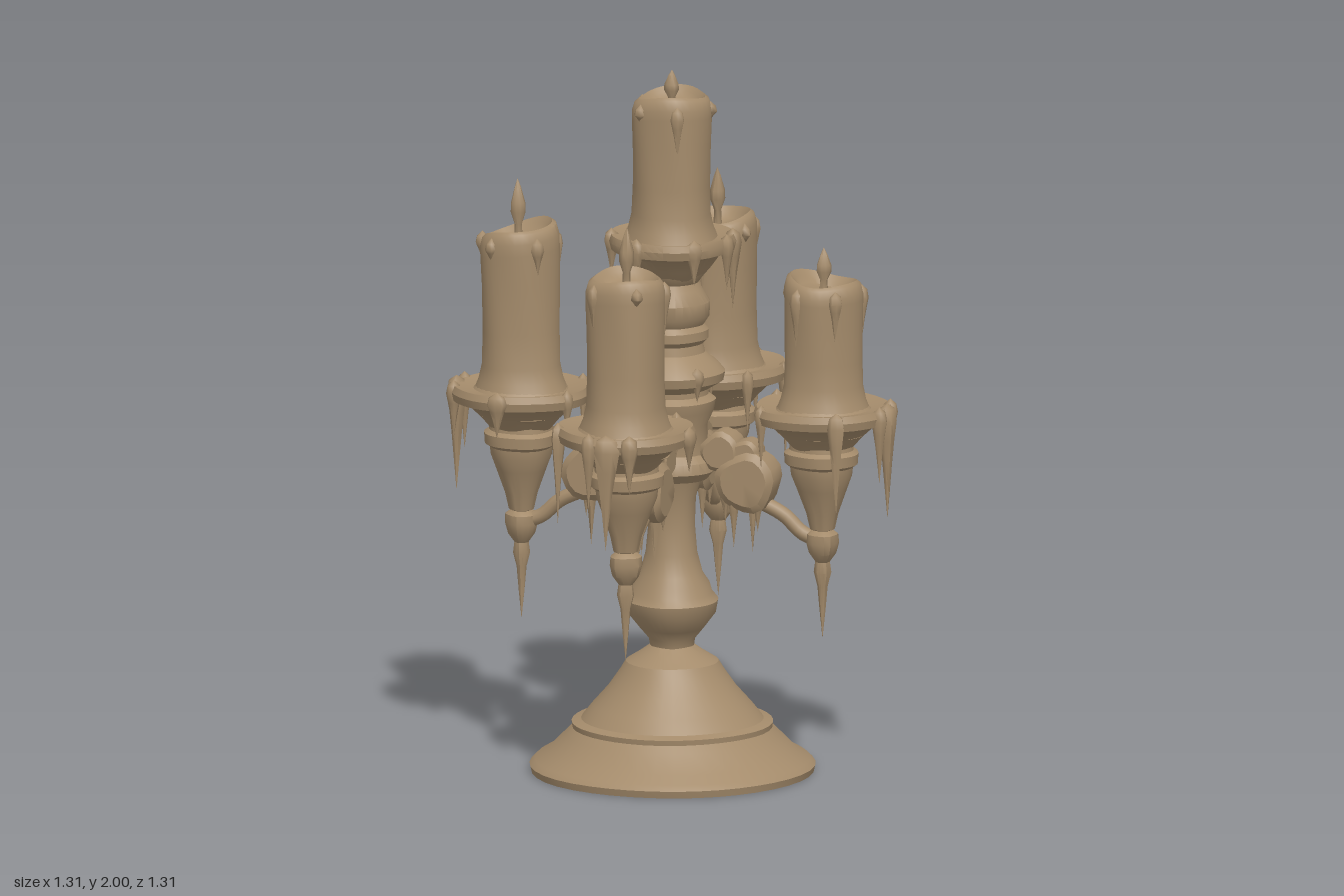
import * as THREE from 'three';
import { mergeVertices, toCreasedNormals } from 'three/addons/utils/BufferGeometryUtils.js';

const wax = new THREE.MeshStandardMaterial({ color: 0xa48b6b });
wax.name = 'old wax tan';

function add(parent, name, geometry) {
  const mesh = new THREE.Mesh(geometry, wax);
  mesh.name = name;
  parent.add(mesh);
  return mesh;
}

// Turned form with an uneven, hand-melted surface; wobble is relative to the radius.
function turned(profile, wobble = 0.02, seed = 0, sides = 32, crease = 0.6) {
  let g = new THREE.LatheGeometry(profile.map(([r, y]) => new THREE.Vector2(r, y)), sides);
  g.deleteAttribute('uv');
  g.deleteAttribute('normal');
  const p = g.attributes.position;
  for (let i = 0; i < p.count; i++) {
    const x = p.getX(i), y = p.getY(i), z = p.getZ(i);
    const r = Math.hypot(x, z);
    if (r < 1e-4) { p.setXYZ(i, 0, y, 0); continue; }
    const a = Math.atan2(z / r, x / r);
    const k = 1 + wobble * (Math.sin(Math.round(3) * a + seed + y * 5) + 0.6 * Math.sin(5 * a + seed * 2.3 - y * 9));
    p.setXYZ(i, x * k, y, z * k);
  }
  g = mergeVertices(g, 1e-4);
  return toCreasedNormals(g, crease);
}

// Hanging drip: wide at the rim, tapering to a point
function drip(parent, x, y, z, length, r, wide = 1) {
  const g = turned([[0, -length], [r * 0.22, -length * 0.75], [r * 0.5, -length * 0.45], [r * 0.75, -length * 0.25],
    [r, -length * 0.06], [r * 0.8, 0.015], [0, 0.03]], 0.08, length * 40, 8, 1.2);
  const mesh = add(parent, 'waxDrip', g);
  mesh.position.set(x, y, z);
  mesh.scale.z = wide;
  mesh.rotation.y = -Math.atan2(z, x);
}

// Drips spaced round a rim: [angle, length, radius, width]
function rimDrips(parent, radius, y, list) {
  const rim = new THREE.Group();
  rim.name = 'rimDrips';
  for (const [a, l, r, w] of list) drip(rim, radius * Math.cos(a), y, radius * Math.sin(a), l, r, w);
  parent.add(rim);
  return rim;
}

// Candle with a hollow melted top, runs of wax and a flame
function candle(parent, y0, y1, tip, r, seed, slant) {
  const c = new THREE.Group();
  c.name = 'candle';
  const h = y1 - y0;
  const g = turned([[r * 1.25, -0.02], [r * 1.1, 0.02], [r * 1.02, 0.06], [r, h * 0.35], [r * 1.01, h * 0.65],
    [r * 1.03, h * 0.85], [r * 1.03, h - 0.035], [r * 0.96, h - 0.008], [r * 0.86, h], [r * 0.74, h - 0.014],
    [r * 0.6, h - 0.03], [0, h - 0.035]], 0.025, seed, 32, 0.8);
  // the rim melts unevenly
  const p = g.attributes.position;
  for (let i = 0; i < p.count; i++) {
    const t = Math.max(0, p.getY(i) / h - 0.6) / 0.4;
    p.setY(i, p.getY(i) + t * (slant * p.getX(i) + 0.008 * Math.sin(2 * Math.atan2(p.getZ(i), p.getX(i)) + seed)));
  }
  add(c, 'candleBody', toCreasedNormals(g, 0.8));
  for (let i = 0; i < 5; i++) {
    const a = seed * 1.7 + i * 1.3, l = 0.1 + 0.07 * Math.sin(seed + i * 2);
    drip(c, r * 0.98 * Math.cos(a), h - 0.045, r * 0.98 * Math.sin(a), l, 0.02, 1);
  }
  const f = tip - y1 + 0.035;
  const flame = add(c, 'flame', turned([[0, 0], [0.012, 0], [0.01, f * 0.25], [0.021, f * 0.45], [0.02, f * 0.6],
    [0.009, f * 0.85], [0, f]], 0.08, seed, 10, 1.2));
  flame.position.y = h - 0.035;
  c.position.y = y0;
  parent.add(c);
  return c;
}

// Melted dish, its lip lying near y = 0
const dish = (r, seed) => turned([[0.085, -0.1], [0.11, -0.07], [r * 0.75, -0.035], [r * 0.97, -0.02], [r, 0.003],
  [r * 0.96, 0.022], [r * 0.82, 0.016], [r * 0.68, 0.012], [r * 0.6, 0.03], [0, 0.035]], 0.022, seed, 40);

function arm(name, angle, top, tip, seed, slant) {
  const a = new THREE.Group();
  a.name = name;
  const cup = new THREE.Group();
  cup.name = 'candleCup';
  cup.position.x = 0.44;
  a.add(cup);

  add(cup, 'dish', dish(0.195, seed)).position.y = 1.05;
  add(cup, 'cupBody', turned([[0, 0.7], [0.035, 0.715], [0.045, 0.76], [0.07, 0.83], [0.085, 0.87], [0.088, 0.895],
    [0.102, 0.905], [0.104, 0.935], [0.09, 0.945], [0.088, 0.97], [0.12, 0.99], [0, 1.02]], 0.025, seed));
  add(cup, 'pendant', turned([[0, 0.4], [0.008, 0.48], [0.014, 0.55], [0.024, 0.59], [0.02, 0.62], [0.038, 0.645],
    [0.046, 0.675], [0.044, 0.7], [0.025, 0.715], [0, 0.72]], 0.06, seed, 16));
  rimDrips(cup, 0.19, 1.055, [[0, 0.3, 0.028, 1.3], [0.28, 0.19, 0.022, 1], [-0.35, 0.14, 0.022, 1.2],
    [0.95 + 0.1 * seed, 0.26, 0.02, 1.2], [-1.5, 0.1, 0.02, 1.5], [2.4, 0.15, 0.018, 1], [-2.6, 0.1, 0.018, 1]]);
  const body = candle(cup, 1.07, top, tip, 0.108, seed, slant);
  body.rotation.z = 0.02 * Math.sin(seed * 3);

  // Curved branch from the pendant up to the scroll
  const branch = new THREE.CatmullRomCurve3([[0.43, 0.68], [0.38, 0.7], [0.33, 0.745], [0.27, 0.775], [0.2, 0.8]]
    .map(([x, y]) => new THREE.Vector3(x, y, 0)));
  add(a, 'branch', new THREE.TubeGeometry(branch, 16, 0.021, 10));

  // Scroll: a chunky curl with a raised heel leaning on the column
  const curl = (label, x, y, r, half, turn) => {
    const m = add(a, label, turned([[0, -half], [r * 0.75, -half], [r * 0.97, -half * 0.75], [r, 0],
      [r * 0.97, half * 0.75], [r * 0.75, half], [0, half]], 0.05, seed + x * 9, 18));
    m.rotation.set(Math.PI / 2, turn, 0);
    m.position.set(x, y, 0);
  };
  curl('scroll', 0.225, 0.84, 0.088, 0.055, 0.3);
  curl('scrollHeel', 0.15, 0.92, 0.06, 0.045, 0.9);
  curl('scrollCap', 0.22, 0.915, 0.045, 0.04, 0.2);
  for (const [x, z, l] of [[0.19, 0.03, 0.14], [0.23, -0.02, 0.16], [0.26, 0.03, 0.09], [0.15, -0.02, 0.08]]) {
    drip(a, x, 0.79, z, l, 0.017);
  }
  a.rotation.y = angle;
  return a;
}

export function createModel() {
  const model = new THREE.Group();
  model.name = 'candelabra';

  // Stepped bell-shaped foot
  add(model, 'foot', turned([[0, 0], [0.395, 0], [0.4, 0.02], [0.385, 0.035], [0.35, 0.055], [0.3, 0.105], [0.28, 0.125],
    [0.282, 0.14], [0.255, 0.148], [0.225, 0.185], [0.18, 0.235], [0.145, 0.285], [0.13, 0.31], [0.09, 0.335],
    [0.062, 0.355], [0, 0.37]], 0.009, 1, 40, 0.35));

  // Lower stem with its knob
  add(model, 'stem', turned([[0.06, 0.345], [0.065, 0.375], [0.09, 0.405], [0.125, 0.45], [0.132, 0.485], [0.115, 0.505],
    [0.108, 0.53], [0.088, 0.56], [0.072, 0.62], [0.065, 0.7], [0.068, 0.78], [0.085, 0.84], [0, 0.86]], 0.02, 2));

  // Hub, collar and stacked bulbs
  add(model, 'column', turned([[0, 0.83], [0.1, 0.835], [0.122, 0.86], [0.118, 0.89], [0.1, 0.91], [0.098, 0.99],
    [0.115, 1.03], [0.12, 1.06], [0.1, 1.075], [0.1, 1.09], [0.14, 1.115], [0.145, 1.14], [0.125, 1.165], [0.09, 1.195],
    [0.085, 1.22], [0.1, 1.235], [0.1, 1.26], [0.088, 1.275], [0.104, 1.3], [0.106, 1.34], [0.085, 1.375],
    [0.075, 1.395], [0.09, 1.415], [0.1, 1.44], [0, 1.45]], 0.02, 3));
  rimDrips(model, 0.13, 1.14, [[0.7, 0.07, 0.02, 1], [2.3, 0.1, 0.02, 1], [3.9, 0.08, 0.02, 1], [5.4, 0.1, 0.02, 1]]);

  // Top dish and candle
  const top = new THREE.Group();
  top.name = 'topHolder';
  model.add(top);
  add(top, 'dish', dish(0.18, 4)).position.y = 1.51;
  rimDrips(top, 0.17, 1.515, [[-0.35, 0.2, 0.024, 1.3], [0.15, 0.13, 0.02, 1.2], [-1.35, 0.19, 0.022, 1.3],
    [0.9, 0.1, 0.02, 1.3], [1.9, 0.12, 0.02, 1.2], [2.9, 0.11, 0.022, 1.2], [4, 0.15, 0.02, 1]]);
  candle(top, 1.53, 1.93, 2, 0.108, 5, 0.05);

  // Four arms: direction, candle top, flame tip, seed, rim slant
  model.add(arm('leftArm', 0, 1.43, 1.52, 1.2, -0.08));
  model.add(arm('frontArm', -Math.PI / 2, 1.5, 1.64, 2.6, -0.05));
  model.add(arm('rightArm', Math.PI, 1.52, 1.66, 3.7, -0.2));
  model.add(arm('backArm', Math.PI / 2, 1.5, 1.63, 4.9, 0.05));
  return model;
}
